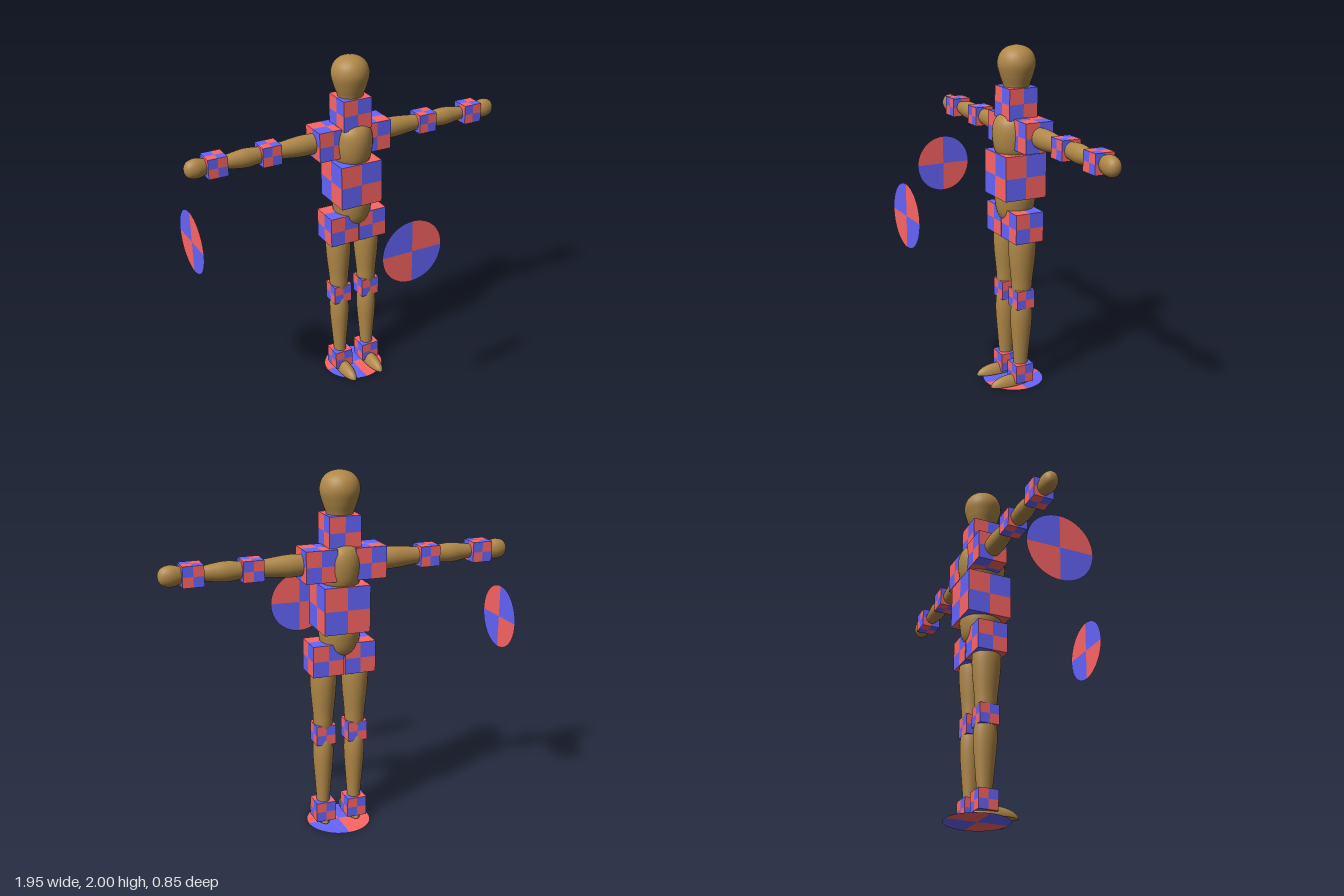
import * as THREE from 'three';

const wood = new THREE.MeshStandardMaterial({ color: 0xb08848 });
const paint = [0xff6666, 0x6666ff].map((color) => new THREE.MeshStandardMaterial({ color }));
const discPaint = [0xff6666, 0x6666ff].map(
  (color) => new THREE.MeshStandardMaterial({ color, side: THREE.DoubleSide }));

const BODY_Z = -0.245;
const ARM_Z = -0.271;

// Smooth turned part: profile is [height, radius] pairs from bottom to top
function turned(name, profile, scaleX = 1, scaleZ = 1) {
  const curve = new THREE.SplineCurve(profile.map(([h, r]) => new THREE.Vector2(r, h)));
  const points = curve.getPoints(profile.length * 5);
  points.forEach((p) => { p.x = Math.max(p.x, 0); });
  const mesh = new THREE.Mesh(new THREE.LatheGeometry(points, 32), wood);
  mesh.scale.set(scaleX, 1, scaleZ);
  mesh.name = name;
  return mesh;
}

// Cube whose faces each carry a 2 x 2 checker, one mesh per colour
function checkerCube(name, size, x, y, z, swap = 0) {
  const group = new THREE.Group();
  group.name = name;
  for (let c = 0; c < 2; c++) {
    const geometry = new THREE.BoxGeometry(size, size, size, 2, 2, 2);
    const all = Array.from(geometry.index.array);
    geometry.setIndex(all.filter((_, i) => {
      const quad = Math.floor(i / 6) % 4;
      return ((quad === 1 || quad === 2 ? 1 : 0) ^ swap) === c;
    }));
    geometry.clearGroups();
    const mesh = new THREE.Mesh(geometry, paint[c]);
    mesh.name = name + (c ? 'Blue' : 'Red');
    group.add(mesh);
  }
  group.position.set(x, y, z);
  return group;
}

// Flat target disc made of four alternating quadrants
function targetDisc(name, x, y, z) {
  const group = new THREE.Group();
  group.name = name;
  for (let q = 0; q < 4; q++) {
    const quadrant = new THREE.Mesh(
      new THREE.CircleGeometry(0.18, 12, q * Math.PI / 2, Math.PI / 2), discPaint[q % 2]);
    quadrant.name = name + 'Quadrant';
    group.add(quadrant);
  }
  group.position.set(x, y, z);
  return group;
}

// Half dome with a flat sole
function foot(x) {
  const geometry = new THREE.SphereGeometry(1, 28, 20);
  const pos = geometry.attributes.position;
  for (let i = 0; i < pos.count; i++) pos.setY(i, Math.max(pos.getY(i), 0));
  geometry.scale(0.041, 0.058, 0.128);
  geometry.computeVertexNormals();
  const mesh = new THREE.Mesh(geometry, wood);
  mesh.position.set(x, 0.01, -0.178);
  mesh.name = 'foot';
  return mesh;
}

function leg(side) {
  const group = new THREE.Group();
  group.name = side > 0 ? 'leftLeg' : 'rightLeg';
  const x = side * 0.092;
  const thigh = turned('thigh', [[0.55, 0.04], [0.6, 0.052], [0.67, 0.057],
    [0.8, 0.069], [0.9, 0.071], [0.99, 0.055]], 1, 1.13);
  const shin = turned('shin', [[0.08, 0.034], [0.14, 0.036], [0.25, 0.044],
    [0.4, 0.055], [0.49, 0.053], [0.55, 0.04]], 1, 1.18);
  for (const part of [thigh, shin]) {
    part.position.set(x, 0, BODY_Z);
    group.add(part);
  }
  group.add(
    checkerCube('hipJoint', 0.174, side * 0.091, 0.992, BODY_Z),
    checkerCube('kneeJoint', 0.112, x, 0.55, BODY_Z),
    checkerCube('ankleJoint', 0.112, x, 0.084, BODY_Z),
    foot(x));
  return group;
}

function arm(side) {
  const group = new THREE.Group();
  group.name = side > 0 ? 'leftArm' : 'rightArm';
  const y = 1.517;
  const upperArm = turned('upperArm', [[0.14, 0.05], [0.22, 0.058], [0.3, 0.06],
    [0.4, 0.05], [0.46, 0.043], [0.5, 0.035]], 1, 0.85);
  const forearm = turned('forearm', [[0.5, 0.038], [0.55, 0.047], [0.63, 0.054],
    [0.7, 0.046], [0.76, 0.036], [0.81, 0.032]], 1, 0.87);
  const hand = turned('hand', [[0.82, 0.025], [0.865, 0.046], [0.91, 0.056],
    [0.95, 0.047], [0.97, 0.025], [0.975, 0]], 1, 0.82);
  for (const part of [upperArm, forearm, hand]) {
    part.rotation.z = -side * Math.PI / 2;
    part.position.set(0, y, ARM_Z);
    group.add(part);
  }
  group.add(
    checkerCube('shoulderJoint', 0.172, side * 0.138, y, ARM_Z),
    checkerCube('elbowJoint', 0.112, side * 0.493, y, ARM_Z, 1),
    checkerCube('wristJoint', 0.112, side * 0.805, y, ARM_Z, 1));
  return group;
}

export function createModel() {
  const model = new THREE.Group();
  model.name = 'jointedFigure';

  // Head and torso
  const head = turned('head', [[1.7, 0.058], [1.77, 0.072], [1.83, 0.093], [1.895, 0.108],
    [1.95, 0.094], [1.985, 0.056], [2, 0]]);
  const chest = turned('chest', [[1.33, 0.07], [1.4, 0.117], [1.46, 0.134], [1.53, 0.137],
    [1.585, 0.122], [1.615, 0.085], [1.63, 0]], 0.86, 1);
  const pelvis = turned('pelvis', [[0.995, 0], [1.005, 0.07], [1.04, 0.1], [1.1, 0.115],
    [1.16, 0.117], [1.22, 0.09]], 0.96, 1);
  for (const part of [head, chest, pelvis]) {
    part.position.z = BODY_Z;
    model.add(part);
  }
  model.add(
    checkerCube('neckJoint', 0.176, 0, 1.682, BODY_Z),
    checkerCube('waistJoint', 0.256, 0, 1.275, BODY_Z));

  // Limbs
  for (const side of [1, -1]) model.add(leg(side), arm(side));

  // Target discs in front, at the side and under the feet
  const frontDisc = targetDisc('frontDisc', 0, 1.11, 0.427);
  const sideDisc = targetDisc('sideDisc', -0.976, 1.11, BODY_Z);
  sideDisc.rotation.y = -Math.PI / 2;
  const floorDisc = targetDisc('floorDisc', 0, 0, BODY_Z);
  floorDisc.rotation.x = Math.PI / 2;
  model.add(frontDisc, sideDisc, floorDisc);
  return model;
}
